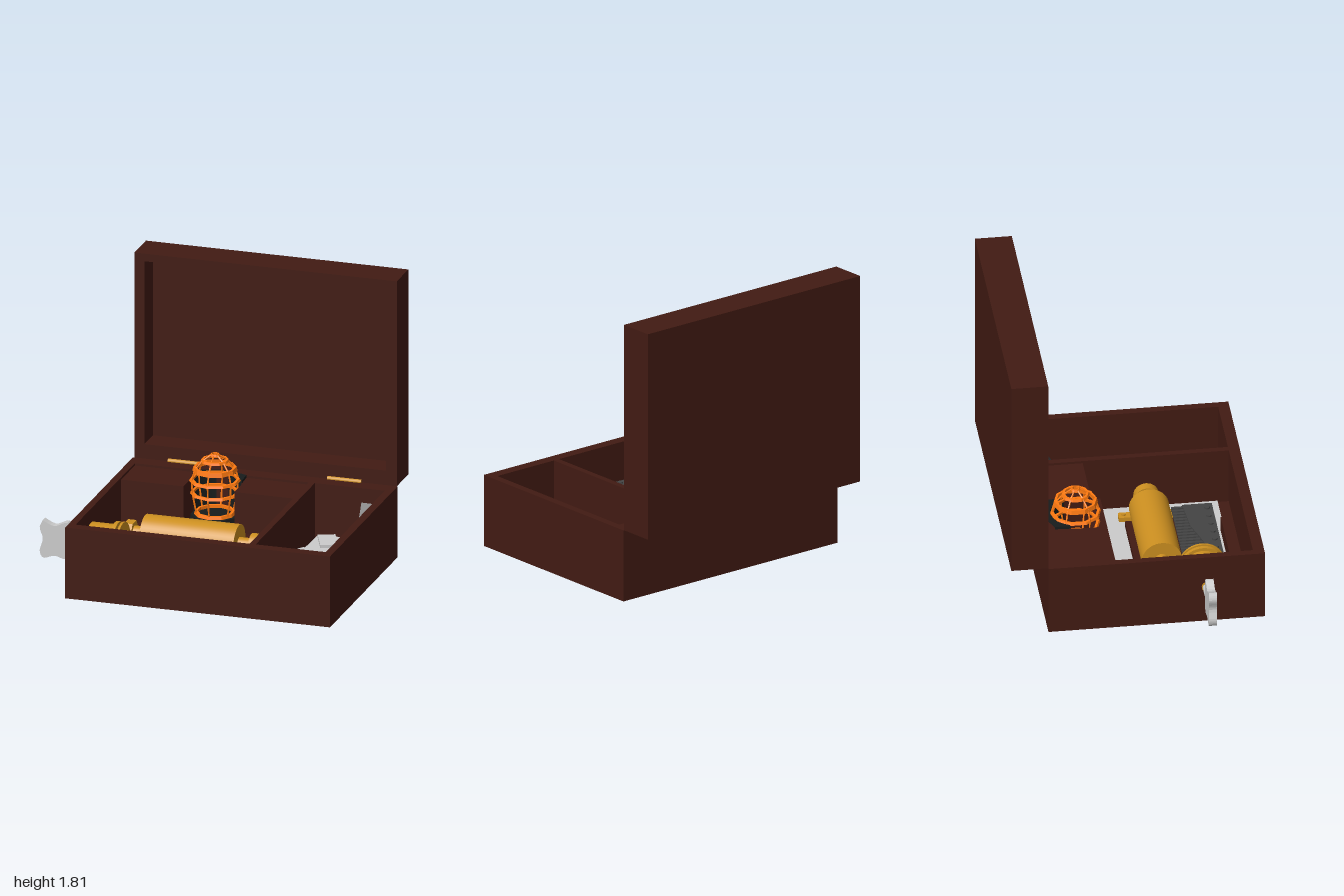
import * as THREE from 'three';

const mat = (color) => new THREE.MeshStandardMaterial({ color, side: THREE.DoubleSide });
const flat = (color) => new THREE.MeshStandardMaterial({ color, side: THREE.DoubleSide, flatShading: true });

export function createModel() {
  const root = new THREE.Group();
  const wood = mat(0x421b13), brass = mat(0xcc8f20), orange = flat(0xff7a10);
  const black = flat(0x181c1c), steel = mat(0x444444), grey = mat(0xcccccc);

  const add = (name, geo, m, parent = root) => {
    const mesh = new THREE.Mesh(geo, m);
    mesh.name = name;
    parent.add(mesh);
    return mesh;
  };
  // Box given by its limits on each axis
  const box = (name, m, x0, x1, y0, y1, z0, z1, parent) => {
    const b = add(name, new THREE.BoxGeometry(x1 - x0, y1 - y0, z1 - z0), m, parent);
    b.position.set((x0 + x1) / 2, (y0 + y1) / 2, (z0 + z1) / 2);
    return b;
  };
  // Cylinder lying along x
  const rod = (name, m, x0, x1, r, y, z, sides = 32) => {
    const c = add(name, new THREE.CylinderGeometry(r, r, x1 - x0, sides).rotateZ(Math.PI / 2), m);
    c.position.set((x0 + x1) / 2, y, z);
    return c;
  };
  const outline = (pts) => new THREE.Shape(pts.map(([a, b]) => new THREE.Vector2(a, b)));
  const rect = (x0, x1, y0, y1) => outline([[x0, y0], [x1, y0], [x1, y1], [x0, y1]]);
  const extrude = (shape, depth) => new THREE.ExtrudeGeometry(shape, { depth, bevelEnabled: false });
  // Plan outline (x, -z) raised from y0 to y1
  const slab = (name, m, shape, y0, y1) => {
    const s = add(name, extrude(shape, y1 - y0).rotateX(-Math.PI / 2), m);
    s.position.y = y0;
    return s;
  };

  // Case: walls with two compartments, and a bottom
  const walls = rect(-0.725, 0.995, -0.79, 0.56);
  walls.holes.push(rect(-0.68, 0.45, -0.72, 0.46), rect(0.49, 0.945, -0.72, 0.46));
  slab('caseWalls', wood, walls, 0.04, 0.465);
  box('caseBottom', wood, -0.725, 0.995, 0, 0.04, -0.56, 0.79);

  // Open lid: frame and back panel
  const lid = rect(-0.715, 0.99, 0.465, 1.81);
  lid.holes.push(rect(-0.65, 0.92, 0.56, 1.76));
  add('lidFrame', extrude(lid, 0.17), wood).position.z = -0.73;
  box('lidPanel', wood, -0.715, 0.99, 0.465, 1.81, -0.79, -0.73);

  // Hinges
  for (const x of [-0.385, 0.65]) {
    rod('hingePin', brass, x - 0.11, x + 0.11, 0.016, 0.468, -0.562, 12);
    box('hingeLeaf', brass, x - 0.11, x + 0.11, 0.462, 0.469, -0.56, -0.55);
  }

  // Rear block with an alcove, low step in front of it
  const cx = -0.11, cz = -0.31;
  const block = outline([[-0.68, 0.19], [cx - 0.165, 0.19]]);
  block.lineTo(cx - 0.165, -cz);
  block.absarc(cx, -cz, 0.165, Math.PI, 0, true);
  block.lineTo(cx + 0.165, 0.19);
  block.lineTo(0.45, 0.19);
  block.lineTo(0.45, 0.5);
  block.lineTo(-0.68, 0.5);
  slab('rearBlock', wood, block, 0.04, 0.45);
  box('rearStep', wood, -0.68, 0.45, 0.04, 0.18, -0.46, -0.08);

  // Black backing of the alcove
  const back = outline([[-0.27, 0.36], [-0.265, 0.46], [-0.16, 0.505], [-0.06, 0.505], [0.045, 0.46], [0.05, 0.36]]);
  back.absarc(cx, -cz, 0.155, 0.35, Math.PI - 0.35, false);
  slab('alcoveBacking', black, back, 0.18, 0.468);
  const socket = add('cageFoot', new THREE.CylinderGeometry(0.15, 0.16, 0.07, 10), black);
  socket.position.set(cx, 0.215, cz);

  // Domed cage: [height, radius] of each ring
  const cage = new THREE.Group();
  cage.name = 'cage';
  cage.position.set(cx, 0, cz);
  root.add(cage);
  const rings = [[0.26, 0.13, 0.02], [0.39, 0.155, 0.015], [0.472, 0.16, 0.015], [0.545, 0.14, 0.028], [0.6, 0.09, 0.016], [0.637, 0.032, 0.014]];
  for (const [y, r, h] of rings) {
    const t = r < 0.05 ? 0.012 : 0.022;
    const prof = [[r - t, -h / 2], [r, -h / 2], [r - 0.006, h / 2], [r - t, h / 2], [r - t, -h / 2]];
    add('cageRing', new THREE.LatheGeometry(prof.map(([a, b]) => new THREE.Vector2(a, b)), 10), orange, cage).position.y = y;
  }
  for (let i = 0; i < 6; i++) {
    const a = (i + 0.5) / 6 * Math.PI * 2;
    for (let k = 0; k < rings.length - 1; k++) {
      const ends = [rings[k], rings[k + 1]].map(([y, r]) =>
        new THREE.Vector3(Math.cos(a) * (r - 0.013), y, Math.sin(a) * (r - 0.013)));
      add('cageBar', new THREE.TubeGeometry(new THREE.LineCurve3(...ends), 1, 0.006, 5), orange, cage);
    }
  }

  // Bed plate and wooden supports of the movement
  box('movementPlinth', wood, -0.68, 0.45, 0.04, 0.09, -0.08, 0.72);
  box('bedPlate', grey, -0.68, 0.45, 0.09, 0.1, -0.08, 0.65);
  box('cylinderBase', wood, -0.43, 0.235, 0.1, 0.14, 0.045, 0.385);
  box('barrelBase', wood, -0.68, -0.46, 0.1, 0.14, 0.275, 0.585);
  box('combStop', wood, -0.31, 0.115, 0.09, 0.2, 0.625, 0.66);

  // Music cylinder on its axle and brackets
  const ay = 0.255, az = 0.19;
  rod('musicCylinder', brass, -0.4, 0.21, 0.125, ay, az, 48);
  rod('axleRight', brass, 0.21, 0.36, 0.045, ay, az);
  rod('axleLeft', brass, -0.63, -0.4, 0.025, ay, az);
  rod('axleCollar', brass, -0.47, -0.4, 0.045, ay, az);
  rod('axleNut', flat(0xcc8f20), -0.525, -0.47, 0.08, ay, az, 6);
  const bracket = (x, w, half) => {
    box('bracketFoot', brass, x - w, x + w, 0.1, 0.13, az - half, az + half);
    box('bracketPost', brass, x - w, x + w, 0.13, ay, az - half * 0.45, az + half * 0.45);
    rod('bracketEye', brass, x - w, x + w, half * 0.45, ay, az);
    for (const s of [-1, 1]) {
      const screw = add('bracketScrew', new THREE.CylinderGeometry(w * 0.4, w * 0.4, 0.012, 12), brass);
      screw.position.set(x, 0.135, az + s * half * 0.82);
    }
  };
  bracket(0.32, 0.03, 0.175);
  bracket(-0.6, 0.013, 0.075);

  // Spring barrel, its rim and small gear
  const bz = 0.43;
  rod('springBarrel', brass, -0.675, -0.52, 0.125, ay, bz, 40);
  rod('barrelRim', brass, -0.52, -0.495, 0.145, ay, bz, 40);
  rod('barrelGear', brass, -0.48, -0.465, 0.145, ay, bz, 40);
  rod('gearShaft', brass, -0.495, -0.43, 0.025, ay, bz, 16);
  rod('smallGear', brass, -0.455, -0.44, 0.095, ay, bz, 16);

  // Steel comb: plate with a slanted edge, teeth and screws
  const plate = outline([[-0.43, -0.515], [-0.39, -0.5], [-0.2, -0.45], [-0.08, -0.41], [0.16, -0.39], [0.16, -0.575], [-0.39, -0.575], [-0.39, -0.515]]);
  slab('combPlate', steel, plate, 0.255, 0.28);
  box('combSupport', steel, -0.38, 0.15, 0.1, 0.255, 0.5, 0.57);
  for (let i = 0; i < 17; i++) {
    const x = -0.38 + i * 0.033;
    const end = x < -0.08 ? 0.51 - (x + 0.39) * 0.32 : 0.42;
    box('combTooth', steel, x - 0.01, x + 0.01, 0.26, 0.272, 0.32, end);
  }
  for (let i = 0; i < 6; i++) {
    const screw = add('combScrew', new THREE.CylinderGeometry(0.016, 0.016, 0.012, 14), steel);
    screw.position.set(-0.335 + i * 0.088, 0.284, 0.54);
  }

  // Winding key
  const head = new THREE.Shape(new THREE.SplineCurve([[-0.98, 0.37], [-0.905, 0.34], [-0.825, 0.37], [-0.805, 0.32], [-0.805, 0.18],
    [-0.83, 0.13], [-0.905, 0.145], [-0.975, 0.125], [-1, 0.17], [-0.98, 0.25], [-1, 0.32], [-0.98, 0.37]]
    .map(([x, y]) => new THREE.Vector2(x, y))).getPoints(48));
  add('keyHead', extrude(head, 0.05), grey).position.z = bz - 0.025;
  rod('keyShaft', grey, -0.82, -0.66, 0.022, 0.25, bz, 20);
  rod('keyCollar', grey, -0.815, -0.735, 0.03, 0.25, bz, 20);
  rod('keyBush', brass, -0.733, -0.72, 0.035, 0.25, bz, 20);

  // Keepsakes in the side compartment
  const sheet = (name, m, x, y, z, w, h, d, turn) => {
    const s = add(name, new THREE.BoxGeometry(w, h, d), m);
    s.position.set(x, y, z);
    s.rotation.y = turn;
    return s;
  };
  sheet('paperStack', grey, 0.72, 0.085, -0.065, 0.43, 0.09, 0.78, -0.02);
  sheet('letter', grey, 0.765, 0.137, 0.01, 0.31, 0.012, 0.36, 0.1);
  sheet('foldedLetter', grey, 0.755, 0.147, 0.02, 0.27, 0.01, 0.32, -0.05);
  sheet('envelope', grey, 0.615, 0.14, -0.335, 0.11, 0.02, 0.19, 0.4);
  const photo = sheet('leaningPhoto', steel, 0.865, 0.26, -0.37, 0.125, 0.012, 0.27, -0.15);
  photo.rotation.set(1.05, 0, -0.12);

  // Hair comb: curved spine and teeth
  const spine = outline([[0.51, 0.06], [0.535, 0.095], [0.575, 0.08], [0.595, 0.03], [0.595, -0.19], [0.57, -0.23], [0.515, -0.22], [0.5, -0.08]]);
  slab('hairCombSpine', grey, spine, 0.14, 0.175);
  for (let i = 0; i < 9; i++) {
    const z = -0.03 + i * 0.026;
    box('hairCombTooth', grey, 0.58, 0.625, 0.15, 0.165, z - 0.006, z + 0.006);
  }
  return root;
}
